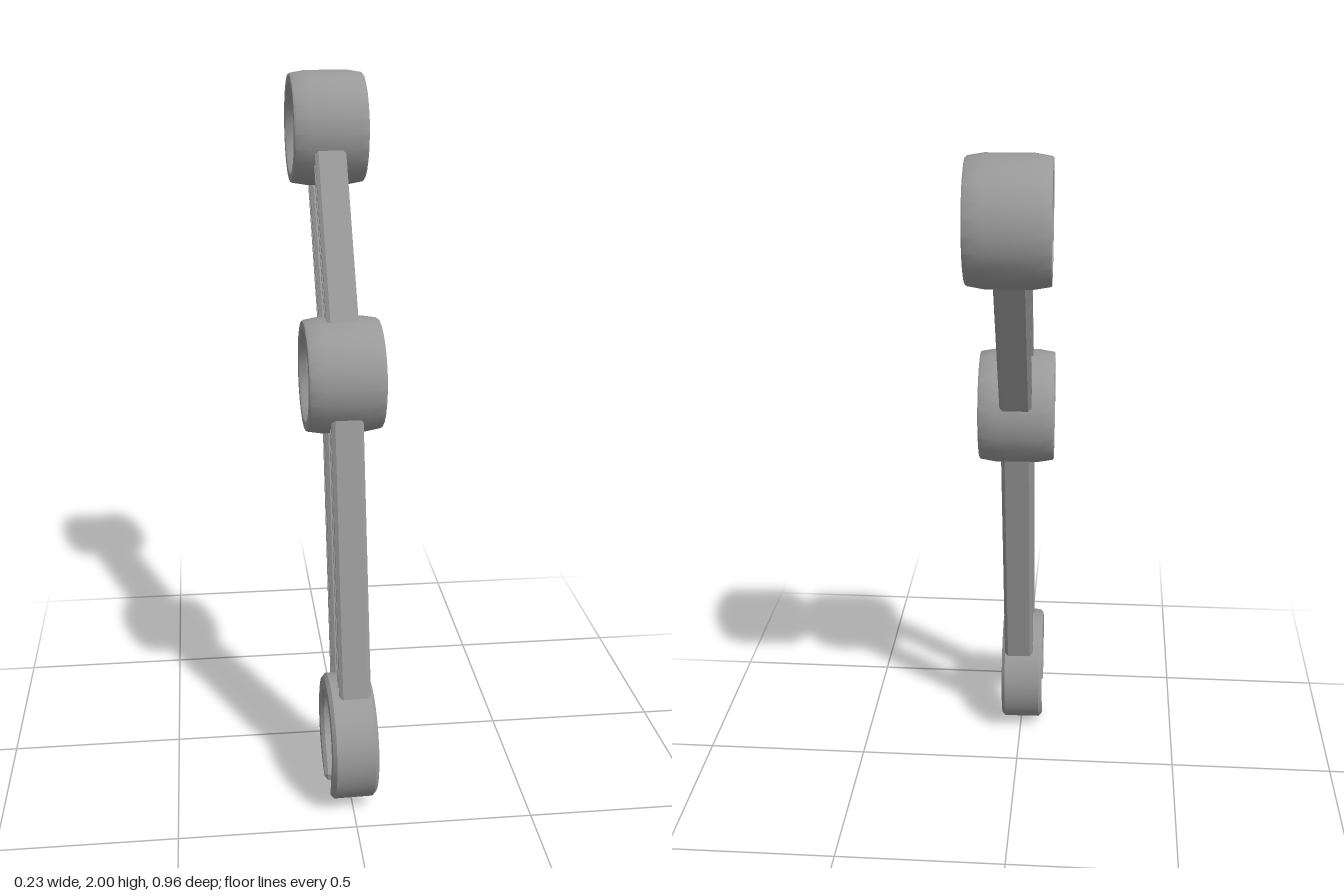
import * as THREE from 'three';
import { toCreasedNormals } from 'three/addons/utils/BufferGeometryUtils.js';

// Joint centres in the side plane: (forward, up)
const TOP = new THREE.Vector2(-0.312, 1.836);
const ELBOW = new THREE.Vector2(0.07, 1.2);
const CLAW = new THREE.Vector2(0.298, 0.175);
const RAIL_OFFSET = 0.084;

export function createModel() {
  const model = new THREE.Group();
  model.name = 'jointedArm';
  const material = new THREE.MeshStandardMaterial({ color: 0x999999 });

  // The side plane is drawn in XY, then turned so that its X runs forward
  const arm = new THREE.Group();
  arm.name = 'arm';
  arm.rotation.y = -Math.PI / 2 + 0.026;
  model.add(arm);

  const add = (parent, name, geometry, crease = 0.5) => {
    const mesh = new THREE.Mesh(toCreasedNormals(geometry, crease), material);
    mesh.name = name;
    parent.add(mesh);
    return mesh;
  };
  const tilt = (from, to) => Math.atan2(from.x - to.x, to.y - from.y);

  // Barrel hubs with a dished recess on both faces
  const half = [[0, 0.065], [0.113, 0.065], [0.126, 0.102], [0.131, 0.107], [0.154, 0.107], [0.157, 0.103], [0.164, 0.062]];
  const profile = [
    ...half.map(([r, h]) => new THREE.Vector2(r, -h)),
    ...half.slice().reverse().map(([r, h]) => new THREE.Vector2(r, h)),
  ];
  const hubGeometry = new THREE.LatheGeometry(profile, 24).rotateX(Math.PI / 2);
  for (const [name, p, shift] of [['topHub', TOP, -0.005], ['elbowHub', ELBOW, 0]]) {
    add(arm, name, hubGeometry).position.set(p.x, p.y, shift);
  }

  // Rail section: chamfered bar with a groove along each side
  const quarter = [[0.028, 0.035], [0.02, 0.045], [0.012, 0.045], [0.008, 0.033]];
  const section = new THREE.Shape([
    ...quarter,
    ...quarter.slice().reverse().map(([a, b]) => [-a, b]),
    ...quarter.map(([a, b]) => [-a, -b]),
    ...quarter.slice().reverse().map(([a, b]) => [a, -b]),
  ].map(([a, b]) => new THREE.Vector2(a, b)));

  // A pair of parallel rails joining two centres
  function addRails(name, from, to, startGap, endGap) {
    const group = new THREE.Group();
    group.name = name;
    group.position.set(from.x, from.y, 0);
    group.rotation.z = tilt(from, to);
    const depth = from.distanceTo(to) - startGap - endGap;
    const geometry = new THREE.ExtrudeGeometry(section, { depth, bevelEnabled: false }).rotateX(-Math.PI / 2);
    for (const side of [1, -1]) {
      add(group, side > 0 ? 'frontRail' : 'backRail', geometry, 0.3)
        .position.set(side * RAIL_OFFSET, startGap, 0);
    }
    arm.add(group);
  }
  addRails('lowerArm', CLAW, ELBOW, 0.125, 0.1);
  addRails('upperArm', ELBOW, TOP, 0.1, 0.1);

  // Open clip: round outside, round seat inside, straight lips with blunt tips
  const down = -Math.PI / 2;
  const outerGap = 0.4, innerGap = 0.85;
  const clip = new THREE.Shape();
  clip.absarc(0, 0, 0.179, down + outerGap, down + 2 * Math.PI - outerGap, false);
  clip.lineTo(-0.062, -0.145);
  clip.absarc(0, 0, 0.123, down + 2 * Math.PI - innerGap, down + innerGap, true);
  clip.lineTo(0.062, -0.145);
  clip.closePath();
  const bevel = 0.01;
  const clipGeometry = new THREE.ExtrudeGeometry(clip, {
    depth: 0.13 - 2 * bevel, curveSegments: 28, bevelEnabled: true,
    bevelThickness: bevel, bevelSize: bevel, bevelOffset: -bevel, bevelSegments: 1,
  }).translate(0, 0, -0.065 + bevel);
  const claw = add(arm, 'claw', clipGeometry);
  claw.position.set(CLAW.x, CLAW.y, 0.01);
  claw.rotation.z = tilt(CLAW, ELBOW);

  return model;
}
